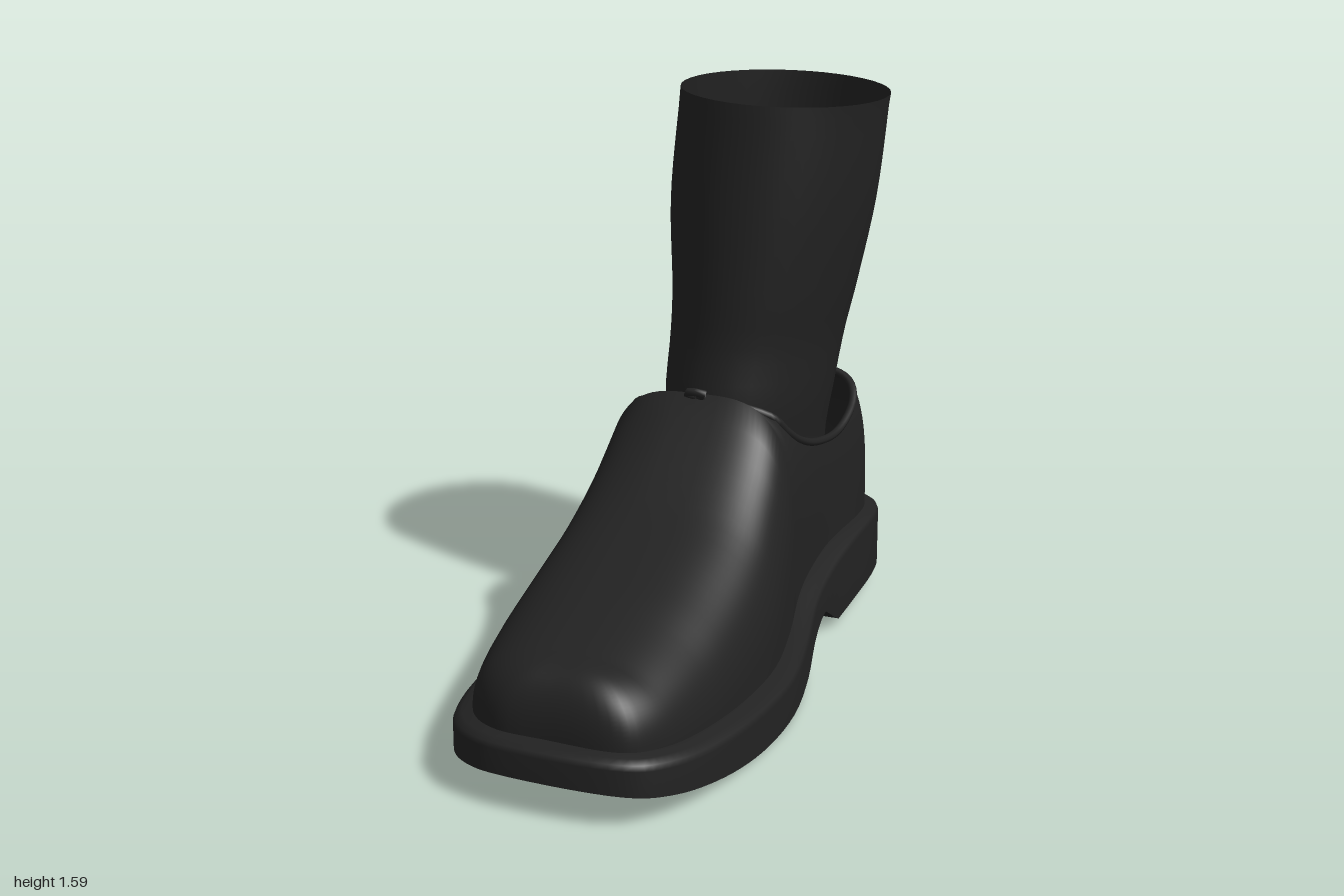
import * as THREE from 'three';
import { mergeVertices } from 'three/addons/utils/BufferGeometryUtils.js';

const COLUMNS = 120;
const { clamp } = THREE.MathUtils;

// Smooth interpolation through [key, value, value...] rows with ascending keys
function table(rows) {
  return (k, c = 1) => {
    const n = rows.length - 1;
    if (k <= rows[0][0]) return rows[0][c];
    if (k >= rows[n][0]) return rows[n][c];
    let i = 0;
    while (k > rows[i + 1][0]) i++;
    const slope = (j) => {
      const a = rows[Math.max(j - 1, 0)], b = rows[Math.min(j + 1, n)];
      return (b[c] - a[c]) / (b[0] - a[0]);
    };
    const d = rows[i + 1][0] - rows[i][0], t = (k - rows[i][0]) / d, t2 = t * t, t3 = t2 * t;
    return (2 * t3 - 3 * t2 + 1) * rows[i][c] + (t3 - 2 * t2 + t) * d * slope(i)
      + (3 * t2 - 2 * t3) * rows[i + 1][c] + (t3 - t2) * d * slope(i + 1);
  };
}

// Sole outline: z, right edge x, left edge x (keyed by angle so the ends stay round)
const outline = table([
  [1, 0.06, 0.06], [0.99, -0.1, 0.2], [0.96, -0.18, 0.28], [0.9, -0.25, 0.325], [0.8, -0.31, 0.36],
  [0.6, -0.37, 0.39], [0.4, -0.395, 0.4], [0.2, -0.4, 0.395], [0, -0.385, 0.36], [-0.2, -0.36, 0.315],
  [-0.4, -0.345, 0.295], [-0.6, -0.33, 0.29], [-0.8, -0.3, 0.285], [-0.9, -0.265, 0.265],
  [-0.96, -0.21, 0.215], [-0.99, -0.1, 0.12], [-1, 0.01, 0.01],
].map(([z, a, b]) => [Math.acos(z), a, b]));
const edgeX = (z, side) => outline(Math.acos(clamp(z, -1, 1)), side);

const soleTop = table([[-1, 0.225], [-0.6, 0.21], [-0.3, 0.175], [0, 0.12], [0.3, 0.1], [0.7, 0.12], [1, 0.16]]);
const soleBottom = table([
  [-1, 0.065], [-0.7, 0.035], [-0.5, 0.021], [-0.45, 0.02], [-0.3, 0.1], [-0.27, 0.094], [-0.15, 0.06],
  [0, 0.02], [0.2, 0.005], [0.4, 0.002], [0.6, 0.02], [0.8, 0.053], [1, 0.095],
]);
const vampHeight = table([
  [-0.11, 0.78], [0, 0.66], [0.1, 0.58], [0.2, 0.52], [0.4, 0.45], [0.6, 0.4], [0.8, 0.355],
]);
const collarHeight = table([
  [-0.94, 0.69], [-0.85, 0.65], [-0.75, 0.605], [-0.6, 0.565], [-0.45, 0.575], [-0.3, 0.62],
  [-0.2, 0.68], [-0.11, 0.78],
]);

// Point on the outline and the centre line point it leans towards
function station(i, back = -0.85) {
  const a = (i / COLUMNS) * Math.PI * 2, z = Math.cos(a);
  const edge = new THREE.Vector3(edgeX(z, i <= COLUMNS / 2 ? 2 : 1), 0, z);
  const sz = clamp(z, back, 0.8);
  return { edge, spine: new THREE.Vector3((edgeX(sz, 1) + edgeX(sz, 2)) / 2, 0, sz) };
}

function inset({ edge, spine }, d) {
  return edge.clone().add(spine.clone().sub(edge).setLength(d));
}

// Smooth skin over a grid of points that closes on itself along its columns
function skin(columns) {
  const rows = columns[0].length, index = [];
  columns.forEach((_, i) => {
    const a = i * rows, b = ((i + 1) % columns.length) * rows;
    for (let j = 0; j < rows - 1; j++) index.push(a + j, b + j, b + j + 1, a + j, b + j + 1, a + j + 1);
  });
  let geometry = new THREE.BufferGeometry().setFromPoints(columns.flat());
  geometry.setIndex(index);
  geometry = mergeVertices(geometry, 1e-4);
  geometry.computeVertexNormals();
  return geometry;
}

const around = (fn, n = COLUMNS) => Array.from({ length: n }, (_, i) => fn(i));

// Column of the upper: a superelliptic arch from the welt, cut off at the collar
function upperColumn(i) {
  const s = station(i, -0.45), base = inset(s, 0.055);
  const front = s.edge.z > -0.11;
  const y0 = soleTop(base.z) + 0.02;
  const h = vampHeight(s.spine.z);
  const p = 2.5 + clamp((0.6 - s.spine.z) / 0.7, 0, 1);
  const cut = front ? 1 : (collarHeight(base.z) - y0) / (h - y0);
  const end = Math.asin(Math.pow(clamp(cut, 0, 1), p / 2));
  return Array.from({ length: 25 }, (_, j) => {
    const phi = (end * j) / 24;
    const f = Math.pow(Math.max(Math.cos(phi), 0), 2 / p);
    const point = s.spine.clone().lerp(base, f);
    point.y = y0 + (h - y0) * Math.pow(Math.sin(phi), 2 / p);
    return point;
  });
}

export function createModel() {
  const black = new THREE.MeshStandardMaterial({ color: 0x222222, side: THREE.DoubleSide });
  black.name = 'black leather';
  const model = new THREE.Group();
  model.name = 'shoeWithSock';
  const add = (name, geometry) => {
    const mesh = new THREE.Mesh(geometry, black);
    mesh.name = name;
    model.add(mesh);
  };

  // Underside with raised heel breast
  add('soleBottom', skin(around((i) => {
    const s = station(i);
    return [0, 0.25, 0.5, 0.75, 1].map((k) => {
      const point = s.spine.clone().lerp(s.edge, k);
      point.y = soleBottom(point.z);
      return point;
    });
  })));

  // Side wall of the sole, rounded over into the welt
  add('soleEdge', skin(around((i) => {
    const s = station(i);
    return [[0, -1], [0, 0], [0.006, 0.014], [0.025, 0.026], [0.065, 0.034]].map(([d, lift]) => {
      const point = d ? inset(s, d) : s.edge.clone();
      point.y = lift < 0 ? soleBottom(point.z) : soleTop(point.z) + lift;
      return point;
    });
  })));

  // Floor inside the shoe
  add('insole', skin(around((i) => {
    const s = station(i), rim = inset(s, 0.065);
    return [rim, s.spine.clone()].map((point) => point.setY(soleTop(point.z) + 0.034));
  })));

  // Vamp and heel counter
  const upper = around(upperColumn);
  add('upper', skin(upper));

  // Rolled collar edge around the opening
  const rim = upper.map((column) => column[column.length - 1]).filter((p) => p.z < -0.08);
  const collar = new THREE.CatmullRomCurve3(rim.filter((p, i) => i === 0 || p.distanceTo(rim[i - 1]) > 0.01)
    .map((p) => p.clone().setY(p.y - 0.01)), true);
  add('collar', new THREE.TubeGeometry(collar, 120, 0.012, 8, true));

  // Sock shaft: y, right x, left x, back z, front z
  const sock = table([
    [0.3, -0.22, 0.19, -0.8, -0.2], [0.55, -0.232, 0.2, -0.81, -0.17], [0.7, -0.243, 0.225, -0.825, -0.155],
    [0.87, -0.238, 0.25, -0.845, -0.18], [1, -0.236, 0.28, -0.855, -0.185], [1.27, -0.25, 0.332, -0.88, -0.195],
    [1.58, -0.225, 0.367, -0.87, -0.215],
  ]);
  add('sock', skin(around((i) => {
    const a = (i / 40) * Math.PI * 2, c = Math.cos(a), s = Math.sin(a);
    return Array.from({ length: 25 }, (_, j) => {
      const y = 0.3 + (1.28 * j) / 24;
      const [x0, x1, z0, z1] = [1, 2, 3, 4].map((k) => sock(y, k));
      const tilt = j === 24 ? -0.014 * c - 0.006 * s - 0.004 : 0;
      return new THREE.Vector3(
        (x0 + x1) / 2 + ((x1 - x0) / 2) * c, y + tilt, (z0 + z1) / 2 + ((z1 - z0) / 2) * s);
    });
  }, 40)));

  return model;
}
